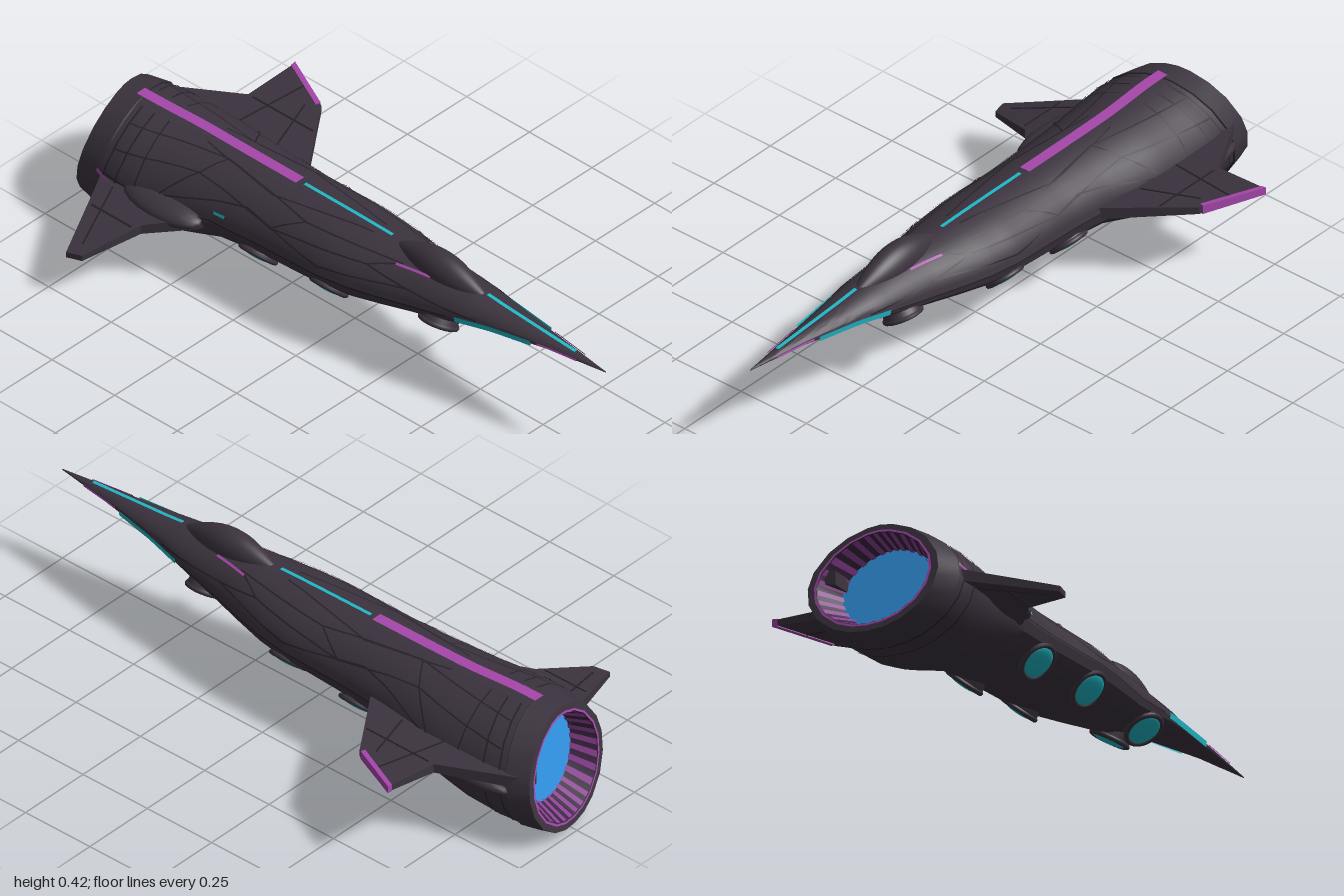
import * as THREE from 'three';
import { toCreasedNormals } from 'three/addons/utils/BufferGeometryUtils.js';

const mat = (name, color) =>
  Object.assign(new THREE.MeshStandardMaterial({ color, side: THREE.DoubleSide }), { name });

// hull stations: x, top, widest height, bottom, half width
const STATIONS = [
  [-0.95, 0.38, 0.2, 0.022, 0.195], [-0.9, 0.39, 0.2, 0.005, 0.212], [-0.8, 0.39, 0.2, 0.004, 0.222],
  [-0.7, 0.388, 0.2, 0.016, 0.22], [-0.6, 0.386, 0.21, 0.05, 0.212], [-0.5, 0.384, 0.22, 0.09, 0.198],
  [-0.4, 0.383, 0.235, 0.125, 0.18], [-0.25, 0.382, 0.24, 0.143, 0.17], [0, 0.38, 0.25, 0.157, 0.168],
  [0.1, 0.378, 0.255, 0.168, 0.157], [0.2, 0.375, 0.262, 0.187, 0.137], [0.3, 0.372, 0.27, 0.207, 0.115],
  [0.4, 0.367, 0.283, 0.228, 0.1], [0.5, 0.36, 0.298, 0.256, 0.085], [0.6, 0.35, 0.308, 0.28, 0.064],
  [0.8, 0.336, 0.318, 0.305, 0.03], [1, 0.322, 0.32, 0.318, 0.001]];
// half cross-section from crest (0) to keel (10): sideways, up
const SECTION = [[0, 1], [0.2, 0.97], [0.48, 0.85], [0.74, 0.63], [0.94, 0.3], [1, 0],
  [0.95, -0.32], [0.79, -0.62], [0.52, -0.86], [0.26, -0.97], [0, -1]];

function station(x) {
  let i = 0;
  while (i < STATIONS.length - 2 && x > STATIONS[i + 1][0]) i++;
  const a = STATIONS[i], b = STATIONS[i + 1];
  const k = Math.min(1, Math.max(0, (x - a[0]) / (b[0] - a[0])));
  return a.map((v, j) => v + (b[j] - v) * k);
}

// point on the hull; t runs from -10 to 10 around the body, the tail end is canted
function hullPoint(x, t, scale = 1) {
  const [, top, mid, bottom, w] = station(x);
  const s = Math.min(10, Math.abs(t)), i = Math.min(9, Math.floor(s)), f = s - i;
  const [c, h] = [0, 1].map(j => SECTION[i][j] + (SECTION[i + 1][j] - SECTION[i][j]) * f);
  const cant = THREE.MathUtils.smoothstep(-x, 0.55, 0.86);
  const z = Math.sign(t) * c * w * scale + 0.01 * cant;
  const y = mid + h * scale * (h > 0 ? top - mid : mid - bottom);
  return new THREE.Vector3(x + cant * 0.2 * (y - 0.2 + z), y, z);
}

function hullNormal(x, t) {
  const e = 0.01;
  const dt = hullPoint(x, t + 0.2).sub(hullPoint(x, t - 0.2));
  const dx = hullPoint(x + e, t).sub(hullPoint(x - e, t));
  return dt.cross(dx).normalize();
}

// surface from a rule f(u, v), u and v in 0..1
function grid(nu, nv, f, crease) {
  const pos = [], idx = [];
  for (let j = 0; j <= nv; j++) for (let i = 0; i <= nu; i++) pos.push(...f(i / nu, j / nv).toArray());
  for (let j = 0; j < nv; j++) for (let i = 0; i < nu; i++) {
    const a = j * (nu + 1) + i, b = a + nu + 1;
    idx.push(a, a + 1, b, a + 1, b + 1, b);
  }
  const g = new THREE.BufferGeometry();
  g.setAttribute('position', new THREE.Float32BufferAttribute(pos, 3));
  g.setIndex(idx);
  g.computeVertexNormals();
  return crease ? toCreasedNormals(g, crease) : g;
}

// thin ribbon lying on the hull along one straight run of [x, t]
function ribbon(a, b, width, lift = 0.003) {
  const n = Math.max(6, Math.ceil(Math.abs(b[0] - a[0]) * 30 + Math.abs(b[1] - a[1]) * 3));
  const at = v => [a[0] + (b[0] - a[0]) * v, a[1] + (b[1] - a[1]) * v];
  return grid(1, n, (u, v) => {
    const p = hullPoint(...at(v)), nrm = hullNormal(...at(v));
    const dir = hullPoint(...at(v + 0.02)).sub(hullPoint(...at(v - 0.02))).normalize();
    return p.addScaledVector(dir.cross(nrm).normalize(), (u - 0.5) * width).addScaledVector(nrm, lift);
  });
}

export function createModel() {
  const ship = new THREE.Group();
  const hullMat = mat('charcoal hull', 0x3b333e), lineMat = mat('dark seams', 0x272129);
  const purple = mat('purple trim', 0xa546aa), ribMat = mat('rib purple', 0x8c4194);
  const wallMat = mat('dark plum', 0x3a2541);
  const teal = mat('teal glow', 0x1fb8c6), blue = mat('blue engine', 0x38a6ff);
  const add = (name, geo, m) => {
    const mesh = new THREE.Mesh(geo, m);
    mesh.name = name;
    ship.add(mesh);
    return mesh;
  };

  // fuselage
  add('fuselage', grid(40, 78, (u, v) => hullPoint(-0.95 + 1.95 * v, u * 20 - 10), 0.45), hullMat);

  // canted tail collar, lip, ribbed nozzle and engine disc
  const ring = (name, x0, s0, x1, s1, m) =>
    add(name, grid(40, 1, (u, v) => hullPoint(x0 + (x1 - x0) * v, u * 20 - 10, s0 + (s1 - s0) * v)), m);
  const inner = (x, t, s) => hullPoint(-0.95, t, s).add(new THREE.Vector3(x, 0, 0));
  ring('collar', -0.95, 1.03, -0.87, 1.02, hullMat);
  ring('collarStep', -0.87, 1.02, -0.865, 0.99, lineMat);
  add('nozzleLip', grid(40, 1, (u, v) => inner(0, u * 20 - 10, 1.03 - 0.14 * v)), hullMat);
  add('nozzleWall', grid(40, 1, (u, v) => inner(0.09 * v, u * 20 - 10, 0.89 - 0.16 * v)), wallMat);
  add('nozzleEdge', grid(40, 1, (u, v) => inner(-0.002, u * 20 - 10, 0.925 - 0.035 * v)), purple);
  add('engineDisc', grid(40, 1, (u, v) => inner(0.085, u * 20 - 10, 0.76 * (1 - v) + 0.001)), blue);
  for (let i = 0; i < 28; i++) {
    const t = -10 + (i + 0.5) * 20 / 28;
    add('nozzleRib', grid(1, 1, (u, v) => inner(0.085 * v, t + (u - 0.5) * 0.36, 0.875 - 0.16 * v)), ribMat);
  }

  // canopy blister growing out of the spine
  add('canopy', grid(20, 28, (u, v) => {
    const x = 0.16 + 0.38 * v, a = Math.PI * (1.25 * u - 0.125), swell = Math.sin(Math.PI * v);
    const base = station(x)[1] - 0.012;
    return new THREE.Vector3(x, base + 0.063 * swell * Math.sin(a), -0.05 * swell ** 0.8 * Math.cos(a) + 0.003);
  }), hullMat);

  // panel seams, mirrored
  const seams = [
    [[-0.84, 2], [-0.45, 1.3], [-0.1, 2.4], [0.25, 2]], [[-0.84, 3.2], [-0.5, 2.6], [-0.2, 3.6], [0.15, 3]],
    [[-0.6, 4.2], [-0.3, 3.2], [0, 4.3], [0.3, 3.6], [0.55, 4.4]], [[-0.84, 4.3], [-0.35, 4.9], [0.2, 5], [0.45, 5]],
    [[-0.45, 1.3], [-0.5, 2.6], [-0.6, 4.2]], [[-0.1, 2.4], [-0.2, 3.6]], [[0.25, 2], [0.15, 3], [0.3, 3.6]],
    [[-0.72, 1], [-0.7, 4.3]], [[0.1, 0.8], [-0.25, 2], [-0.55, 1]]];
  // mirrored light strips: name, start, end, width, material
  const strips = [
    ['noseSideGlow', [0.48, 5.1], [0.74, 5.1], 0.018, teal],
    ['browStripe', [0.23, 2.2], [0.35, 2], 0.008, purple],
    ['noseTrim', [0.76, 4.6], [0.9, 4.6], 0.006, purple]];
  for (const side of [1, -1]) {
    for (const path of seams) for (let i = 1; i < path.length; i++) {
      const [a, b] = [path[i - 1], path[i]].map(([x, t]) => [x, t * side]);
      add('panelSeam', ribbon(a, b, 0.005), lineMat);
    }
    for (const [name, a, b, width, m] of strips)
      add(name, ribbon([a[0], a[1] * side], [b[0], b[1] * side], width, 0.004), m);

    // belly lamps: pod, thin rim and shallow dome; position, then how far each faces sideways
    for (const [x, y, z, out] of [[-0.265, 0.166, 0.128, 0.67], [0.01, 0.186, 0.122, 0.67], [0.39, 0.221, 0.06, 0.5]]) {
      const lamp = new THREE.Group();
      lamp.name = 'bellyLamp';
      const pod = new THREE.Mesh(new THREE.CylinderGeometry(0.06, 0.05, 0.05, 32).rotateX(Math.PI / 2), hullMat);
      pod.name = 'lampPod';
      pod.position.z = -0.025;
      const rim = new THREE.Mesh(new THREE.TorusGeometry(0.056, 0.008, 8, 32), hullMat);
      rim.name = 'lampRim';
      const dome = new THREE.Mesh(new THREE.SphereGeometry(0.053, 28, 16), teal);
      dome.name = 'lampDome';
      dome.scale.z = 0.25;
      lamp.add(pod, rim, dome);
      lamp.position.set(x, y, z * side);
      lamp.quaternion.setFromUnitVectors(new THREE.Vector3(0, 0, 1),
        new THREE.Vector3(0, -Math.sqrt(1 - out * out), out * side));
      ship.add(lamp);
    }
  }
  // spine and nose strips, flank light and collar seams
  add('spineStripe', ribbon([-0.885, 0], [-0.22, 0], 0.036, 0.006), purple);
  add('spineGlow', ribbon([-0.2, 0], [0.15, 0], 0.012, 0.004), teal);
  add('noseTopGlow', ribbon([0.53, 0], [0.88, 0], 0.012, 0.004), teal);
  add('flankGlow', ribbon([-0.4, 4.2], [-0.36, 4.2], 0.01), teal);
  for (const x of [-0.845, -0.79]) for (const side of [1, -1])
    add('collarSeam', ribbon([x, side], [x, 9.9 * side], 0.006), lineMat);

  // wings: outline in x and z, height sloping outwards, thinning to the tip
  function wing(name, outline, y0, slope, lines) {
    const mid = z => y0 + slope * (Math.abs(z) - 0.17);
    const half = z => Math.max(0.009, 0.02 - 0.035 * (Math.abs(z) - 0.17));
    const plate = (label, pts, m, extra) => {
      const shape = new THREE.Shape(pts.map(p => new THREE.Vector2(...p)));
      const g = new THREE.ExtrudeGeometry(shape, { depth: 1, bevelEnabled: false }).rotateX(Math.PI / 2);
      const p = g.attributes.position;
      for (let i = 0; i < p.count; i++) {
        const z = p.getZ(i);
        p.setY(i, mid(z) + (p.getY(i) > -0.5 ? 1 : -1) * (half(z) + extra));
      }
      g.computeVertexNormals();
      add(label, g, m);
    };
    plate(name, outline, hullMat, 0);
    for (const [a, b] of lines) {
      const d = new THREE.Vector2(b[0] - a[0], b[1] - a[1]).normalize().multiplyScalar(0.0025);
      plate('wingSeam', [[a[0] - d.y, a[1] + d.x], [b[0] - d.y, b[1] + d.x], [b[0] + d.y, b[1] - d.x], [a[0] + d.y, a[1] - d.x]], lineMat, 0.002);
    }
    return plate;
  }
  wing('leftWing', [[-0.84, 0.15], [-0.8, 0.23], [-0.69, 0.49], [-0.64, 0.475], [-0.57, 0.3], [-0.45, 0.2], [-0.4, 0.14]],
    0.225, -0.26, [[[-0.74, 0.24], [-0.67, 0.44]], [[-0.75, 0.32], [-0.59, 0.32]]]);
  const plate = wing('rightWing', [[-0.95, -0.12], [-0.965, -0.17], [-0.72, -0.31], [-0.71, -0.498], [-0.52, -0.408], [-0.35, -0.17], [-0.35, -0.12]],
    0.24, 0.12, [[[-0.66, -0.2], [-0.62, -0.44]], [[-0.7, -0.31], [-0.46, -0.31]], [[-0.5, -0.2], [-0.56, -0.38]]]);
  plate('wingTipTrim', [[-0.712, -0.5], [-0.53, -0.415], [-0.535, -0.4], [-0.711, -0.482]], purple, 0.003);

  // wing root fairings
  for (const [name, x, y, z, sx, sy, sz] of [
    ['leftFairing', -0.58, 0.225, 0.2, 0.15, 0.034, 0.06], ['rightFairing', -0.72, 0.205, -0.2, 0.2, 0.034, 0.052]]) {
    const f = add(name, new THREE.SphereGeometry(1, 20, 12), hullMat);
    f.position.set(x, y, z);
    f.scale.set(sx, sy, sz);
    f.rotation.x = 0.2;
  }
  add('leftFairingTrim', ribbon([-0.87, 4.3], [-0.79, 4.8], 0.011, 0.008), purple);
  return ship;
}
